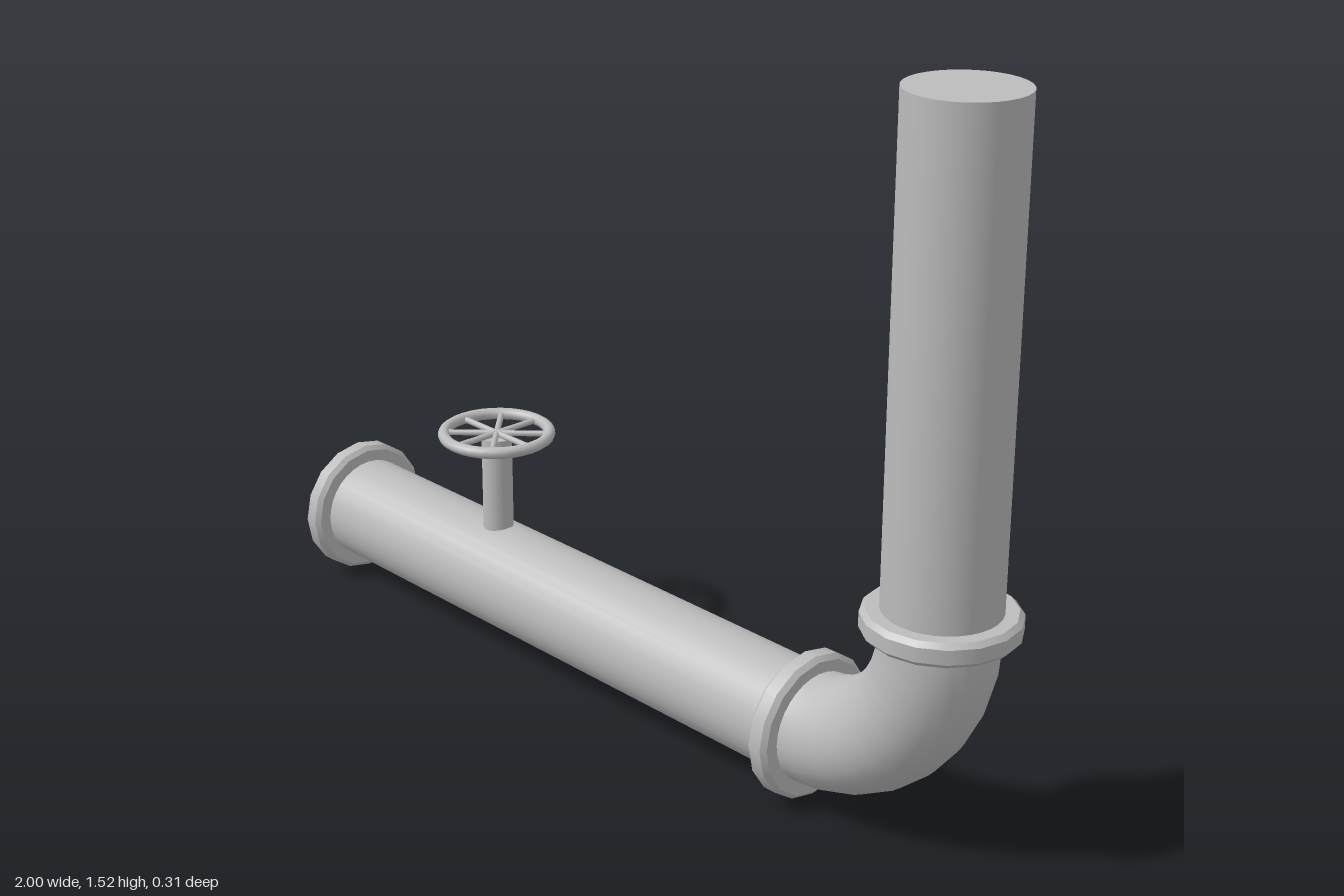
import * as THREE from 'three';

export function createModel() {
  const group = new THREE.Group();
  const metal = new THREE.MeshStandardMaterial({ color: 0xbcbcbc });
  metal.name = 'grey metal';

  const add = (name, geometry, x, y, parent = group) => {
    const mesh = new THREE.Mesh(geometry, metal);
    mesh.name = name;
    mesh.position.set(x, y, 0);
    parent.add(mesh);
    return mesh;
  };

  const R = 0.117;      // pipe radius
  const AXIS = 0.16;    // height of the horizontal pipe
  const RISER = 0.84;   // x of the vertical pipe
  const BEND = 0.33;    // elbow bend radius

  // Pipes and the quarter-turn elbow joining them
  add('horizontalPipe', new THREE.CylinderGeometry(R, R, 1.5, 32), -0.24, AXIS).rotation.z = -Math.PI / 2;
  add('verticalPipe', new THREE.CylinderGeometry(R, R, 1.04, 32), RISER, 1.01);
  add('elbow', new THREE.TorusGeometry(BEND, R, 32, 8, Math.PI / 2), RISER - BEND, AXIS + BEND).rotation.z = -Math.PI / 2;

  // Flanges: 16-sided discs with bevelled rims; doubled points keep edges sharp
  const corners = [[0, -0.025], [0.145, -0.025], [0.155, -0.015], [0.155, 0.015], [0.145, 0.025], [0, 0.025]];
  const profile = corners.flatMap(([r, y], i) => {
    const p = new THREE.Vector2(r, y);
    return i === 0 || i === corners.length - 1 ? [p] : [p, p.clone()];
  });
  const flange = new THREE.LatheGeometry(profile, 16);
  add('endFlange', flange, -0.975, AXIS).rotation.z = -Math.PI / 2;
  add('middleFlange', flange, 0.51, AXIS).rotation.z = -Math.PI / 2;
  add('riserFlange', flange, RISER, 0.51);

  // Valve: stem, rim and eight spokes
  const valve = new THREE.Group();
  valve.name = 'valve';
  valve.position.x = -0.46;
  group.add(valve);
  add('stem', new THREE.CylinderGeometry(0.034, 0.034, 0.23, 20), 0, 0.375, valve);
  add('wheelRim', new THREE.TorusGeometry(0.118, 0.013, 10, 32), 0, 0.498, valve).rotation.x = Math.PI / 2;
  const spoke = new THREE.CylinderGeometry(0.007, 0.007, 0.115, 8);
  spoke.rotateZ(Math.PI / 2).translate(0.0575, 0, 0);
  for (let i = 0; i < 8; i++) {
    add('wheelSpoke', spoke, 0, 0.498, valve).rotation.y = (i * Math.PI) / 4;
  }

  return group;
}
